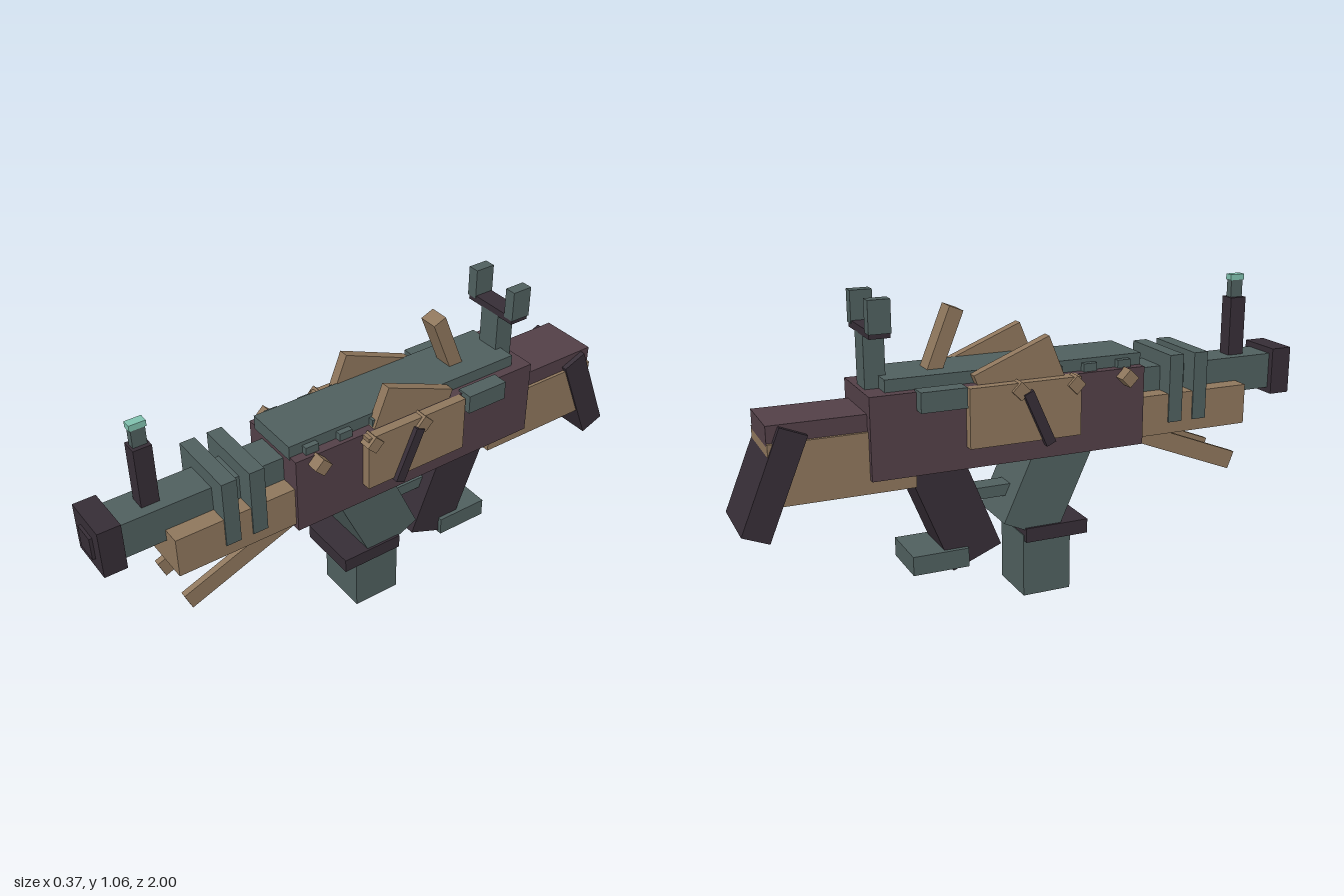
import * as THREE from 'three';

export function createModel() {
  const model = new THREE.Group();
  model.name = 'blockyRifle';

  const mat = (name, color) => {
    const m = new THREE.MeshStandardMaterial({ color });
    m.name = name;
    return m;
  };
  const teal = mat('teal', 0x4f5f5e);
  const plum = mat('plum', 0x523f47);
  const dark = mat('dark', 0x362d36);
  const tan = mat('tan', 0x8e765c);
  const mint = mat('mint', 0x7fc0ae);

  // Box from its x, y and z ranges
  const box = (name, m, x0, x1, y0, y1, z0, z1) => {
    const mesh = new THREE.Mesh(new THREE.BoxGeometry(x1 - x0, y1 - y0, z1 - z0), m);
    mesh.position.set((x0 + x1) / 2, (y0 + y1) / 2, (z0 + z1) / 2);
    mesh.name = name;
    model.add(mesh);
    return mesh;
  };
  // Box centred on x = 0
  const mid = (name, m, half, y0, y1, z0, z1) => box(name, m, -half, half, y0, y1, z0, z1);
  // Box pitched around x: centre y and z, height, length, degrees
  const tilted = (name, m, x0, x1, y, z, h, l, deg) => {
    const mesh = box(name, m, x0, x1, y - h / 2, y + h / 2, z - l / 2, z + l / 2);
    mesh.rotation.x = THREE.MathUtils.degToRad(deg);
    return mesh;
  };

  // Body
  mid('receiver', plum, 0.135, 0.5, 0.77, -0.59, 0.36);
  mid('topCover', teal, 0.102, 0.76, 0.81, -0.53, 0.362);

  // Barrel and handguard
  mid('barrel', teal, 0.062, 0.62, 0.745, 0.3, 0.93);
  mid('muzzle', dark, 0.083, 0.6, 0.765, 0.915, 0.99);
  mid('bore', dark, 0.038, 0.642, 0.72, 0.98, 1);
  mid('handguard', tan, 0.123, 0.52, 0.66, 0.34, 0.775);
  for (const z of [0.465, 0.56]) mid('barrelRing', teal, 0.128, 0.56, 0.795, z, z + 0.052);

  // Front sight
  mid('frontSightPost', dark, 0.027, 0.72, 0.95, 0.765, 0.825);
  mid('frontSightBlade', teal, 0.013, 0.94, 1.01, 0.772, 0.818);
  mid('frontSightTip', mint, 0.015, 1.01, 1.03, 0.768, 0.822);

  // Rear sight
  mid('rearSightPost', teal, 0.042, 0.76, 0.942, -0.575, -0.507);
  mid('rearSightBar', dark, 0.108, 0.94, 0.965, -0.575, -0.507);

  // Magazine
  tilted('magazineUpper', teal, -0.104, 0.104, 0.418, 0.037, 0.4, 0.2, 24.6);
  mid('magazineLower', teal, 0.094, 0, 0.22, -0.063, 0.11);
  mid('magazineBand', dark, 0.112, 0.2, 0.25, -0.06, 0.167);

  // Grip and trigger guard
  tilted('grip', dark, -0.08, 0.08, 0.375, -0.309, 0.45, 0.183, -22);
  mid('gripFoot', teal, 0.095, 0.145, 0.21, -0.453, -0.26);
  mid('triggerGuard', teal, 0.035, 0.35, 0.39, -0.26, -0.06);

  // Stock
  mid('stockBody', tan, 0.115, 0.455, 0.655, -0.9, -0.44);
  mid('stockTop', plum, 0.104, 0.645, 0.71, -0.9, -0.55);
  tilted('buttPlate', dark, -0.122, 0.122, 0.525, -0.887, 0.353, 0.092, 22.3);

  // Upright lever on the cover
  tilted('topLever', tan, -0.034, 0.034, 0.882, -0.312, 0.25, 0.05, 22);

  // Paired side parts
  for (const s of [1, -1]) {
    const pair = (a, b) => (s > 0 ? [a, b] : [-b, -a]);
    const side = s > 0 ? 'left' : 'right';
    box(side + 'RearSightProng', teal, ...pair(0.073, 0.113), 0.955, 1.06, -0.577, -0.505);
    tilted(side + 'FoldedLeg', tan, ...pair(0.078, 0.1), 0.469, 0.514, 0.064, 0.5, 21.4);
    box(side + 'SidePanel', tan, ...pair(0.12, 0.167), 0.573, 0.77, -0.277, 0.11);
    tilted(side + 'SideHandle', dark, ...pair(0.16, 0.184), 0.65, -0.043, 0.195, 0.035, -24);
    box(side + 'SideBlock', teal, ...pair(0.12, 0.177), 0.712, 0.778, -0.44, -0.287);
    tilted(side + 'TopFlap', tan, ...pair(0.098, 0.133), 0.76, -0.082, 0.2, 0.28, -22);
    for (const z of [0.285, 0.09, -0.105])
      tilted(side + 'Bolt', tan, ...pair(0.13, 0.178), 0.745, z, 0.044, 0.044, 45);
    for (const z of [0.29, 0.165, 0.04])
      box(side + 'CoverStud', teal, ...pair(0.095, 0.122), 0.765, 0.797, z - 0.024, z + 0.024);
  }
  return model;
}
